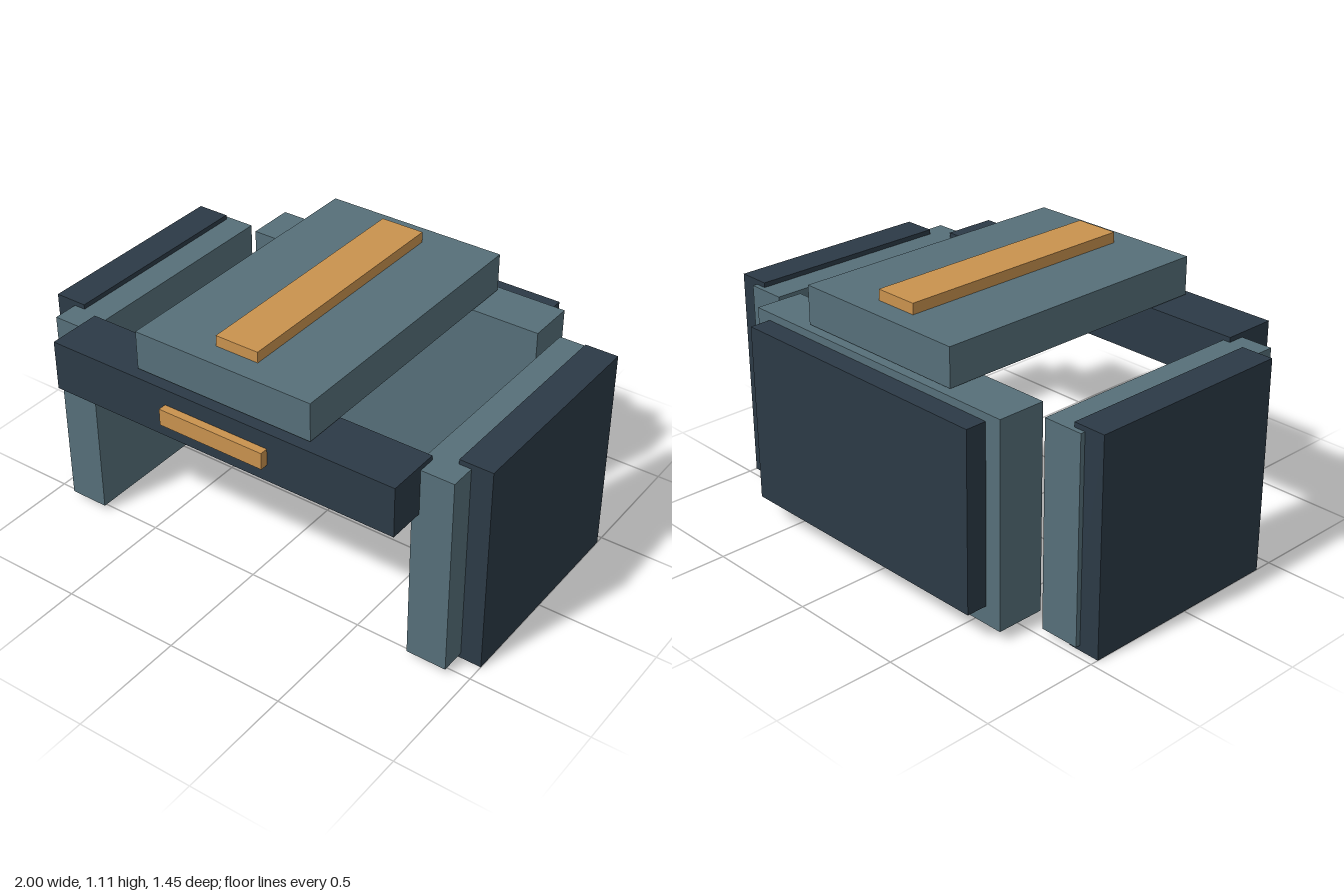
import * as THREE from 'three';

const teal = new THREE.MeshStandardMaterial({ name: 'slateTeal', color: 0x566f79 });
const navy = new THREE.MeshStandardMaterial({ name: 'darkNavy', color: 0x2c3a46 });
const amber = new THREE.MeshStandardMaterial({ name: 'amber', color: 0xc9924e });

// Box given by its extents along each axis
function block(name, material, [x0, x1], [y0, y1], [z0, z1]) {
  const mesh = new THREE.Mesh(new THREE.BoxGeometry(x1 - x0, y1 - y0, z1 - z0), material);
  mesh.name = name;
  mesh.position.set((x0 + x1) / 2, (y0 + y1) / 2, (z0 + z1) / 2);
  return mesh;
}

export function createModel() {
  const model = new THREE.Group();
  model.name = 'armourFrame';

  // Side walls: inner panel with a dark outer plate, mirrored
  for (const [side, s] of [['left', 1], ['right', -1]]) {
    const span = (a, b) => (s > 0 ? [a, b] : [-b, -a]);
    model.add(
      block(side + 'InnerPanel', teal, span(0.743, 0.912), [0.022, 0.873], [-0.485, 0.532]),
      block(side + 'OuterPlate', navy, span(0.862, 1), [0, 0.893], [-0.465, 0.425]),
    );
  }

  // Front bar with its amber strip
  model.add(
    block('frontBar', navy, [-0.775, 0.775], [0.683, 0.893], [0.46, 0.69]),
    block('frontStrip', amber, [-0.233, 0.233], [0.755, 0.825], [0.69, 0.724]),
  );

  // Back panel with its dark outer plate
  model.add(
    block('backPanel', teal, [-0.677, 0.677], [0.043, 0.892], [-0.634, -0.428]),
    block('backPlate', navy, [-0.606, 0.606], [0.12, 0.86], [-0.724, -0.6]),
  );

  // Top slab with a raised amber ridge
  model.add(
    block('topSlab', teal, [-0.393, 0.393], [0.9, 1.06], [-0.603, 0.648]),
    block('topRidge', amber, [-0.094, 0.094], [1.06, 1.105], [-0.508, 0.552]),
  );

  return model;
}
